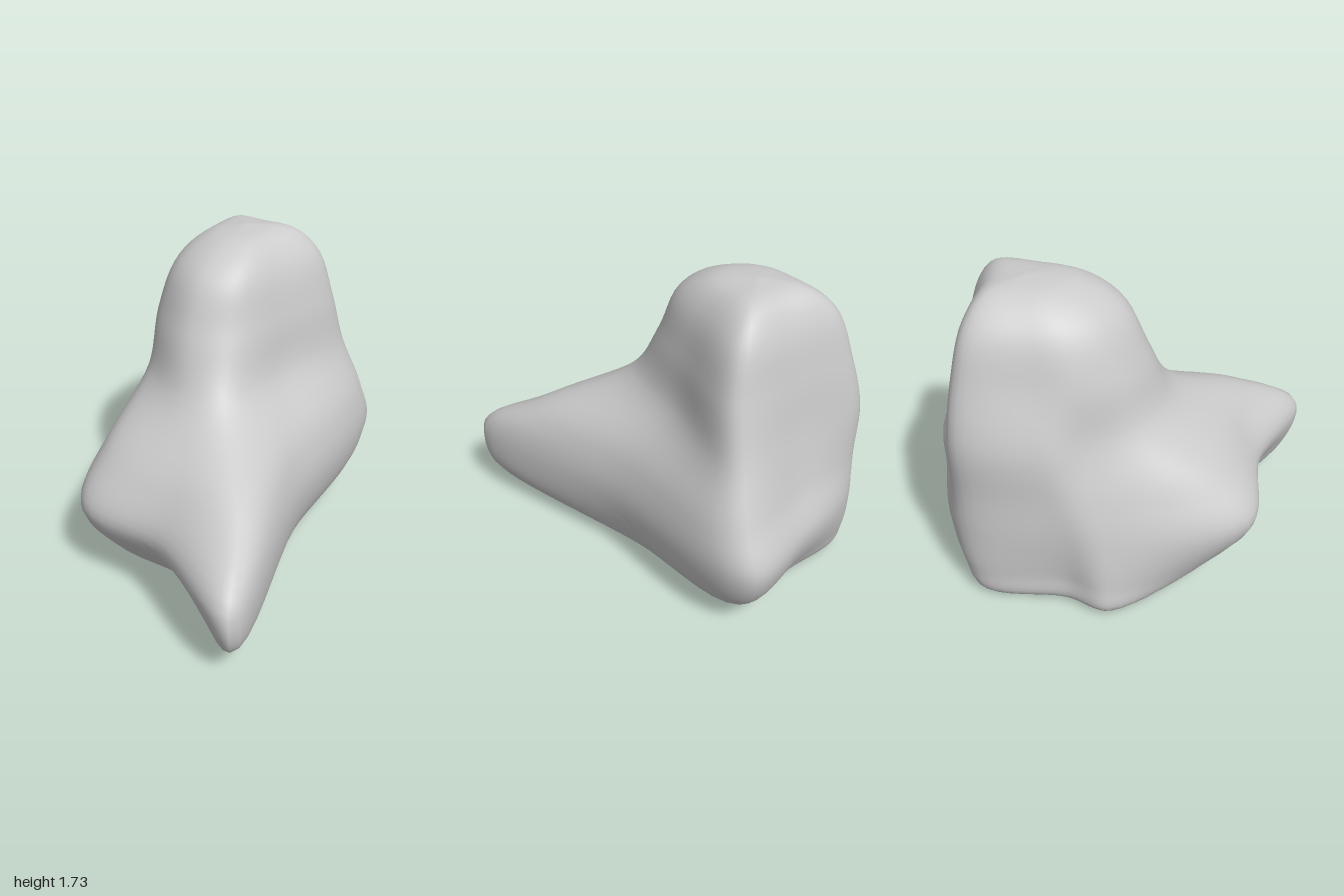
import * as THREE from 'three';
import { mergeVertices } from 'three/addons/utils/BufferGeometryUtils.js';

// Outlines [x, z] from the ground up, each following the same nine ridges and hollows:
// toe, front hollow, front corner, side nub, side notch, back corner, back face, back ridge, flank
const FOOT = [[.47, .66], [.1, .53], [-.3, .54], [-.76, .2], [-.72, -.05], [-.75, -.5], [-.35, -.6], [0, -.62], [.22, -.1]];
const CHAMFER = [[.77, .94], [.18, .69], [-.34, .72], [-.77, .19], [-.74, -.05], [-.78, -.55], [-.33, -.74], [.08, -.87], [.36, -.03]];
const BASE = [[.79, .97], [.17, .84], [-.39, .85], [-.74, .17], [-.76, -.06], [-.78, -.58], [-.3, -.85], [.12, -.98], [.42, 0]];
const SLOPE = [[.56, .65], [.15, .7], [-.39, .66], [-.7, .1], [-.76, -.1], [-.77, -.59], [-.32, -.76], [.13, -.89], [.35, -.05]];
const WAIST = [[.13, .29], [-.1, .38], [-.43, .29], [-.63, .04], [-.75, -.14], [-.77, -.6], [-.35, -.69], [.08, -.77], [.13, -.2]];
const SHOULDER = [[.04, .12], [-.16, .26], [-.43, .19], [-.6, .01], [-.67, -.2], [-.7, -.58], [-.35, -.65], [.05, -.69], [.08, -.25]];

// The dome repeats the shoulder outline, shrunk towards its middle
const dome = (s) => SHOULDER.map(([x, z]) => [-.26 + (x + .26) * s, -.38 + (z + .38) * s]);

const SECTIONS = [
  { y: 0.03, ring: FOOT },
  { y: 0.19, ring: CHAMFER },
  { y: 0.45, ring: BASE },
  { y: 0.70, ring: SLOPE },
  { y: 1.00, ring: WAIST },
  { y: 1.30, ring: SHOULDER },
  { y: 1.56, ring: dome(.8) },
  { y: 1.69, ring: dome(.47) },
];
const BOTTOM = new THREE.Vector3(-.15, 0.01, .05);
const TOP = new THREE.Vector3(-.28, 1.725, -.32);
const AROUND = 72, UP = 54;

function boulderGeometry() {
  // One upright curve along each ridge, from the bottom centre to the top centre
  const ridges = BASE.map((_, i) => new THREE.CatmullRomCurve3([
    BOTTOM,
    ...SECTIONS.map(({ y, ring }) => new THREE.Vector3(ring[i][0], y, ring[i][1])),
    TOP,
  ]));

  // Smooth closed loops across the ridges
  const positions = [], index = [];
  for (let j = 0; j <= UP; j++) {
    const pole = j === 0 ? BOTTOM : j === UP ? TOP : null;
    const loop = new THREE.CatmullRomCurve3(ridges.map((r) => r.getPoint(j / UP)), true);
    for (let i = 0; i < AROUND; i++) {
      const p = pole ?? loop.getPoint(i / AROUND);
      positions.push(p.x, Math.max(0, p.y), p.z);
    }
  }

  // Skin between loops, narrowing to single triangles at both poles
  for (let j = 0; j < UP; j++) {
    for (let i = 0; i < AROUND; i++) {
      const a = j * AROUND + i, b = j * AROUND + (i + 1) % AROUND;
      if (j < UP - 1) index.push(a, a + AROUND, b + AROUND);
      if (j > 0) index.push(a, b + AROUND, b);
    }
  }
  const geometry = new THREE.BufferGeometry();
  geometry.setAttribute('position', new THREE.Float32BufferAttribute(positions, 3));
  geometry.setIndex(index);
  const merged = mergeVertices(geometry, 1e-5);
  merged.computeVertexNormals();
  return merged;
}

export function createModel() {
  const group = new THREE.Group();
  group.name = 'rock';
  const boulder = new THREE.Mesh(boulderGeometry(), new THREE.MeshStandardMaterial({ color: 0xcccccc }));
  boulder.name = 'boulder';
  group.add(boulder);
  return group;
}
